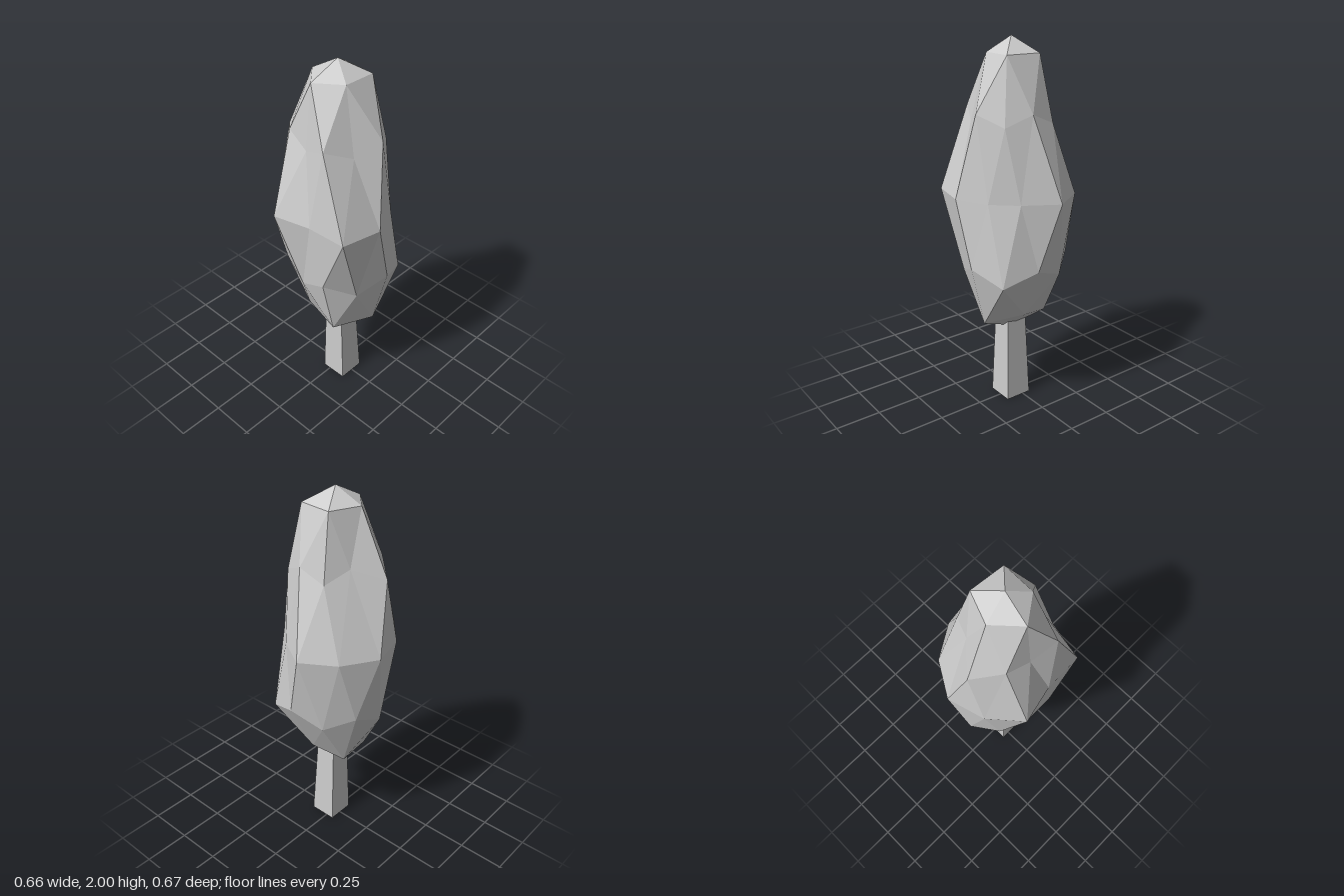
import * as THREE from 'three';

// turns [x, z] pairs into points at one height
const ring = (y, pairs) => pairs.map(([x, z]) => [x, y, z]);

function crownGeometry() {
  // stretched, dented icosphere: rings run around the axis from +x towards +z
  const top = [-0.02, 2.0, 0.01];
  const cap = ring(1.92, [[0.097, 0.123], [-0.08, 0.12], [-0.175, -0.012], [-0.047, -0.13], [0.115, -0.065]]);
  const upperMid = ring(1.64, [[0.025, 0.26], [-0.246, 0.13], [-0.19, -0.15], [0.06, -0.155], [0.203, 0.043]]);
  const upper = ring(1.58, [[0.15, 0.175], [-0.11, 0.2], [-0.213, -0.015], [-0.07, -0.28], [0.185, -0.097]]);
  const belt = ring(1.2, [[0.225, 0.133], [0.114, 0.255], [-0.06, 0.335], [-0.277, 0.288], [-0.284, 0.066],
    [-0.332, -0.14], [-0.17, -0.28], [0.035, -0.337], [0.22, -0.225], [0.332, -0.045]]);
  const lower = ring(0.84, [[0.04, 0.313], [-0.26, 0.13], [-0.2, -0.2], [0.12, -0.255], [0.28, 0.06]]);
  const lowerMid = ring(0.77, [[0.22, 0.242], [-0.13, 0.25], [-0.25, -0.03], [-0.05, -0.28], [0.23, -0.12]]);
  const base = ring(0.5, [[0.03, 0.23], [-0.185, 0.13], [-0.12, -0.12], [0.08, -0.14], [0.135, 0.04]]);
  base[4][1] = 0.54;
  const bottom = [0, 0.42, 0.03];

  const positions = [];
  const face = (...corners) => corners.forEach((p) => positions.push(...p));
  for (let k = 0; k < 5; k++) {
    const n = (k + 1) % 5;
    const right = belt[2 * k], mid = belt[2 * k + 1], left = belt[2 * n];
    // upper half
    face(top, cap[n], cap[k]);
    face(cap[k], cap[n], upperMid[k]);
    face(cap[k], upperMid[k], upper[k]);
    face(cap[n], upper[n], upperMid[k]);
    face(upper[k], upperMid[k], mid);
    face(upper[n], left, upperMid[k]);
    face(upperMid[k], left, mid);
    face(upper[k], mid, right);
    // lower half
    face(lower[k], mid, left);
    face(lowerMid[k], right, mid);
    face(lowerMid[k], mid, lower[k]);
    face(lowerMid[n], lower[k], left);
    face(base[k], lowerMid[k], lower[k]);
    face(base[k], lower[k], lowerMid[n]);
    face(lowerMid[n], base[n], base[k]);
    face(bottom, base[k], base[n]);
  }
  const geometry = new THREE.BufferGeometry();
  geometry.setAttribute('position', new THREE.Float32BufferAttribute(positions, 3));
  geometry.computeVertexNormals();
  return geometry;
}

export function createModel() {
  const model = new THREE.Group();
  model.name = 'tree';
  const paleGrey = new THREE.MeshStandardMaterial({ color: 0xcccccc });
  paleGrey.name = 'paleGrey';

  const crown = new THREE.Mesh(crownGeometry(), paleGrey);
  crown.name = 'crown';

  // square tapering trunk, leaning slightly and reaching into the crown
  const height = 0.56;
  const trunkShape = new THREE.CylinderGeometry(0.08, 0.107, height, 4)
    .rotateY(Math.PI / 4).translate(0, height / 2, 0).toNonIndexed();
  const p = trunkShape.attributes.position;
  for (let i = 0; i < p.count; i++) {
    p.setX(i, p.getX(i) - 0.005 - 0.015 * p.getY(i));
    p.setZ(i, p.getZ(i) + 0.03 - 0.01 * p.getY(i));
  }
  trunkShape.computeVertexNormals();
  const trunk = new THREE.Mesh(trunkShape, paleGrey);
  trunk.name = 'trunk';

  model.add(crown, trunk);
  return model;
}
